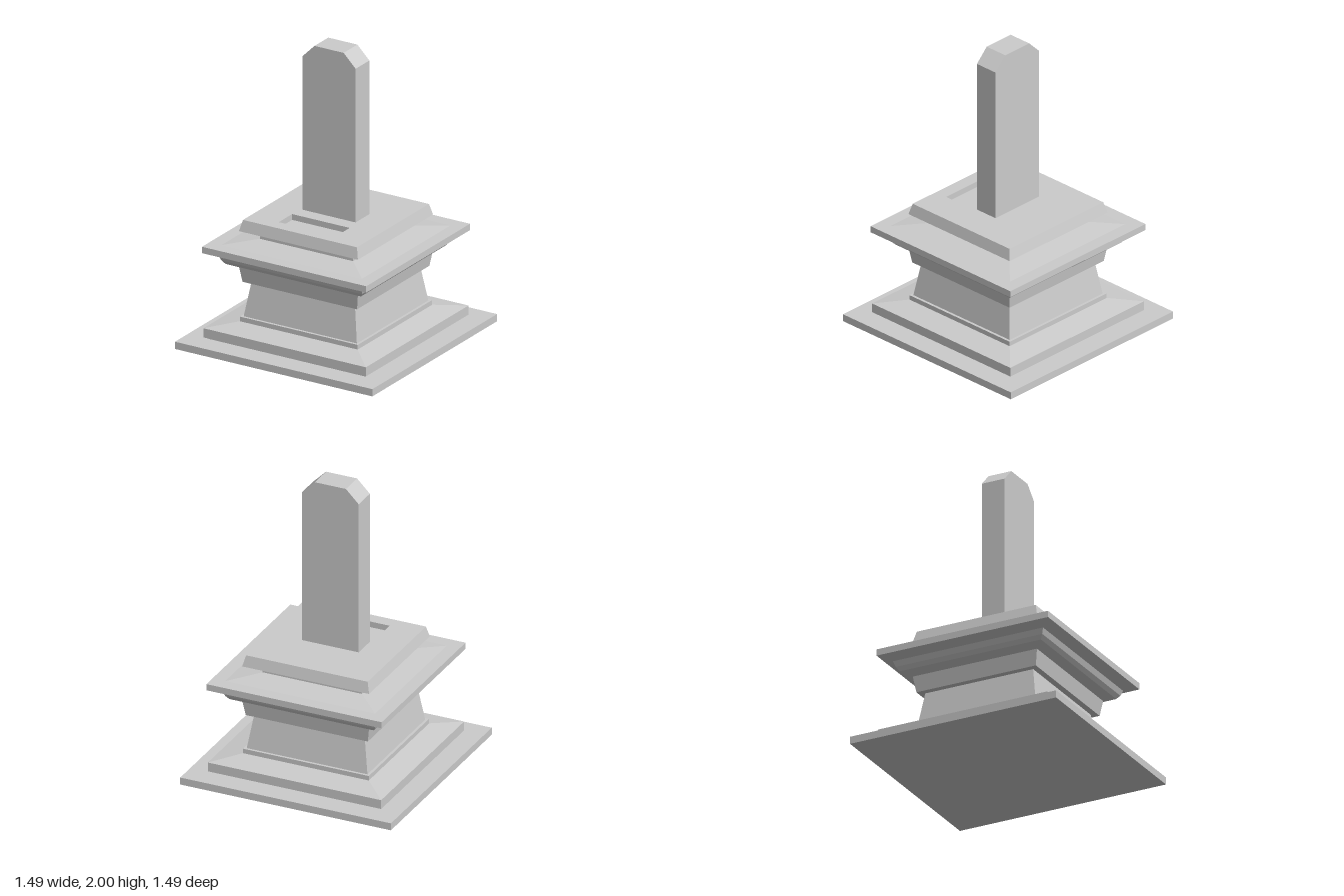
import * as THREE from 'three';

const grey = new THREE.MeshStandardMaterial({ color: 0xcccccc, flatShading: true });

function addPart(group, name, geometry) {
  const mesh = new THREE.Mesh(geometry, grey);
  mesh.name = name;
  group.add(mesh);
  return mesh;
}

// Square moulding swept from a profile of [half width, height], bottom to top
function squareMoulding(profile) {
  const points = profile.map(([h, y]) => new THREE.Vector2(h * Math.SQRT2, y));
  return new THREE.LatheGeometry(points, 4, Math.PI / 4);
}

function polygon(points, Type = THREE.Shape) {
  return new Type(points.map(([x, y]) => new THREE.Vector2(x, y)));
}

export function createModel() {
  const group = new THREE.Group();
  group.name = 'memorialTablet';

  // Stepped foot
  addPart(group, 'groundSlab', squareMoulding([
    [0, 0], [0.745, 0], [0.745, 0.05], [0, 0.05]]));
  addPart(group, 'plinth', squareMoulding([
    [0.59, 0.05], [0.59, 0.063], [0.613, 0.063], [0.613, 0.126],
    [0.445, 0.153], [0.445, 0.185], [0, 0.185]]));

  // Tapered pedestal and its flared collar
  addPart(group, 'pedestal', squareMoulding([[0.427, 0.185], [0.39, 0.423]]));
  addPart(group, 'collar', squareMoulding([[0, 0.423], [0.432, 0.423], [0.449, 0.53]]));

  // Cornice with rounded underside, sloping top and recessed neck
  addPart(group, 'cornice', squareMoulding([
    [0.449, 0.53], [0.51, 0.556], [0.53, 0.583], [0.543, 0.62],
    [0.62, 0.645], [0.62, 0.689], [0.53, 0.689], [0.352, 0.71], [0.352, 0.766]]));

  // Bevelled cap with a rectangular offering recess in its top
  addPart(group, 'cap', squareMoulding([
    [0, 0.766], [0.42, 0.766], [0.449, 0.775], [0.43, 0.85]]));
  const h = 0.43, topY = 0.85;
  const x0 = -0.217, x1 = 0.217, z0 = 0.18, z1 = 0.34, depth = 0.04;
  const top = polygon([[-h, -h], [h, -h], [h, h], [-h, h]]);
  top.holes.push(polygon([[x0, -z1], [x0, -z0], [x1, -z0], [x1, -z1]], THREE.Path));
  addPart(group, 'capTop', new THREE.ShapeGeometry(top).rotateX(-Math.PI / 2)).position.y = topY;

  // Recess: a box turned inside out, without its lid
  const recess = new THREE.BoxGeometry(x1 - x0, depth, z1 - z0);
  const faces = Array.from(recess.index.array);
  faces.splice(12, 6);
  recess.setIndex(faces.reverse());
  recess.clearGroups();
  addPart(group, 'recess', recess).position.set((x0 + x1) / 2, topY - depth / 2, (z0 + z1) / 2);

  // Upright tablet with clipped top corners
  const tablet = polygon([
    [-0.2, topY], [0.2, topY], [0.2, 1.91], [0.11, 2], [-0.11, 2], [-0.2, 1.91]]);
  const slab = new THREE.ExtrudeGeometry(tablet, { depth: 0.165, bevelEnabled: false });
  addPart(group, 'tablet', slab).position.z = -0.0825;

  return group;
}
